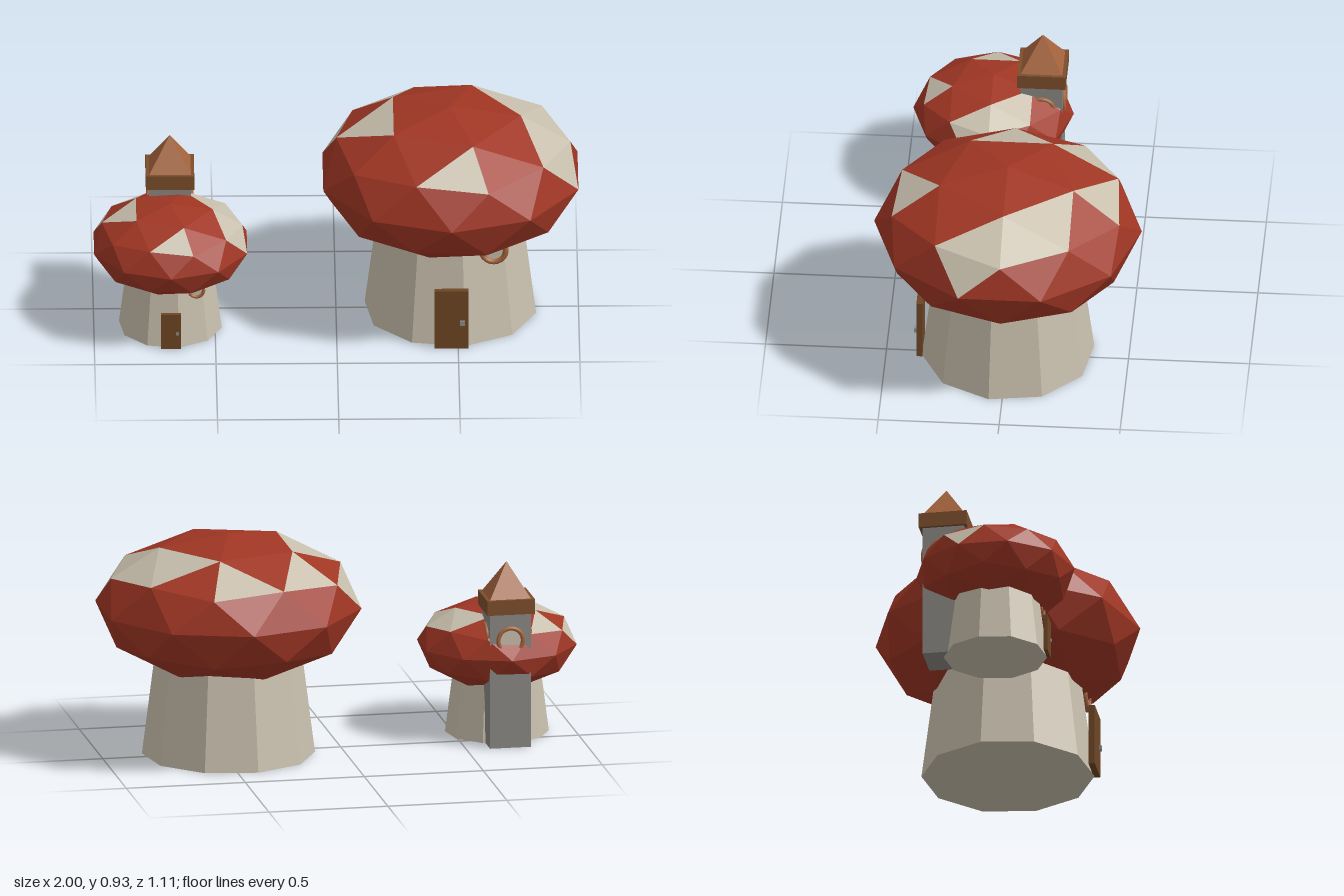
import * as THREE from 'three';

const paint = (name, color) => {
  const m = new THREE.MeshStandardMaterial({ color });
  m.name = name;
  return m;
};

// Faceted copy of a geometry
function facet(geo) {
  const g = geo.index ? geo.toNonIndexed() : geo;
  g.computeVertexNormals();
  return g;
}

function add(parent, name, geo, mat, x = 0, y = 0, z = 0) {
  const mesh = new THREE.Mesh(geo, mat);
  mesh.name = name;
  mesh.position.set(x, y, z);
  parent.add(mesh);
  return mesh;
}

// Direction from azimuth (from +x towards +z) and a ring of the cap
const RINGS = { U: 31.72, M: 58.28, O: 63.43, E: 90 };
function direction(code) {
  const p = THREE.MathUtils.degToRad(RINGS[code[0]]);
  const a = THREE.MathUtils.degToRad(Number(code.slice(1)));
  return new THREE.Vector3(Math.sin(p) * Math.cos(a), Math.cos(p), Math.sin(p) * Math.sin(a));
}

// Pale facets, each named by its three corners
const SPOTS = [
  'U72 M108 O72',
  'U0 U-72 M-36', 'U0 M-36 O0', 'U0 O0 M36', 'O0 M36 E18',
  'U-72 O-72 M-108', 'U-144 M-108 O-144', 'U-144 U144 M180', 'O-144 M180 E-162',
].map(s => s.split(' ').reduce((v, c) => v.add(direction(c)), new THREE.Vector3()).normalize());

function capGeometry() {
  const g = new THREE.IcosahedronGeometry(1, 1);
  g.rotateZ(-Math.atan(2 / (1 + Math.sqrt(5)))); // one corner straight up
  const pos = g.attributes.position;
  const v = new THREE.Vector3(), c = new THREE.Vector3();
  for (let i = 0; i < pos.count; i += 3) {
    c.set(0, 0, 0);
    for (let k = 0; k < 3; k++) c.add(v.fromBufferAttribute(pos, i + k));
    c.normalize();
    g.addGroup(i, 3, SPOTS.some(s => s.dot(c) > 0.995) ? 1 : 0);
  }
  g.scale(0.553, 0.302, 0.553);
  return facet(g);
}

// Round window facing +z
function roundWindow(mats, radius, tube) {
  const w = new THREE.Group();
  w.name = 'roundWindow';
  add(w, 'windowFrame', new THREE.TorusGeometry(radius, tube, 8, 20), mats.roof);
  add(w, 'windowPane', new THREE.CircleGeometry(radius, 20), mats.stone);
  return w;
}

function mushroomHouse(name, mats) {
  const house = new THREE.Group();
  house.name = name;
  const stem = new THREE.CylinderGeometry(0.3, 0.357, 0.45, 10, 1, false, Math.PI / 20);
  add(house, 'stem', facet(stem), mats.stone, 0, 0.225, 0);
  add(house, 'cap', capGeometry(), [mats.cap, mats.stone], 0, 0.63, 0);
  add(house, 'door', new THREE.BoxGeometry(0.14, 0.265, 0.026), mats.door, 0, 0.1325, 0.361);
  add(house, 'doorKnob', new THREE.BoxGeometry(0.02, 0.02, 0.012), mats.knob, 0.045, 0.12, 0.378);
  const win = roundWindow(mats, 0.05, 0.012);
  win.position.set(0.175, 0.415, 0.3);
  house.add(win);
  return house;
}

function bellTower(mats) {
  const tower = new THREE.Group();
  tower.name = 'tower';
  add(tower, 'towerWalls', new THREE.BoxGeometry(0.172, 0.57, 0.172), mats.tower, 0, 0.285, 0);
  add(tower, 'eaves', new THREE.BoxGeometry(0.2, 0.062, 0.2), mats.eaves, 0, 0.6, 0);
  const roof = new THREE.ConeGeometry(0.086 * Math.SQRT2, 0.142, 4);
  roof.rotateY(Math.PI / 4);
  add(tower, 'roof', facet(roof), mats.roof, 0, 0.702, 0);
  // One window on each side
  for (let i = 0; i < 4; i++) {
    const a = i * Math.PI / 2;
    const win = roundWindow(mats, 0.052, 0.009);
    win.position.set(Math.sin(a) * 0.089, 0.457, Math.cos(a) * 0.089);
    win.rotation.y = a;
    tower.add(win);
  }
  return tower;
}

export function createModel() {
  const mats = {
    cap: paint('cap red', 0xa03624),
    stone: paint('pale stone', 0xc8bfad),
    door: paint('door brown', 0x6e4624),
    eaves: paint('eaves brown', 0x7c4e2b),
    roof: paint('roof terracotta', 0xa5643c),
    tower: paint('tower grey', 0x8a8882),
    knob: paint('knob grey', 0x8c8c8c),
  };
  const model = new THREE.Group();
  model.name = 'mushroomHouses';

  const big = mushroomHouse('largeHouse', mats);
  big.position.set(0.472, 0, 0);

  const small = mushroomHouse('smallHouse', mats);
  small.scale.setScalar(0.6);
  small.position.set(-0.684, 0, 0.14);

  const tower = bellTower(mats);
  tower.position.set(-0.684, 0, -0.064);

  model.add(big, small, tower);
  return model;
}
